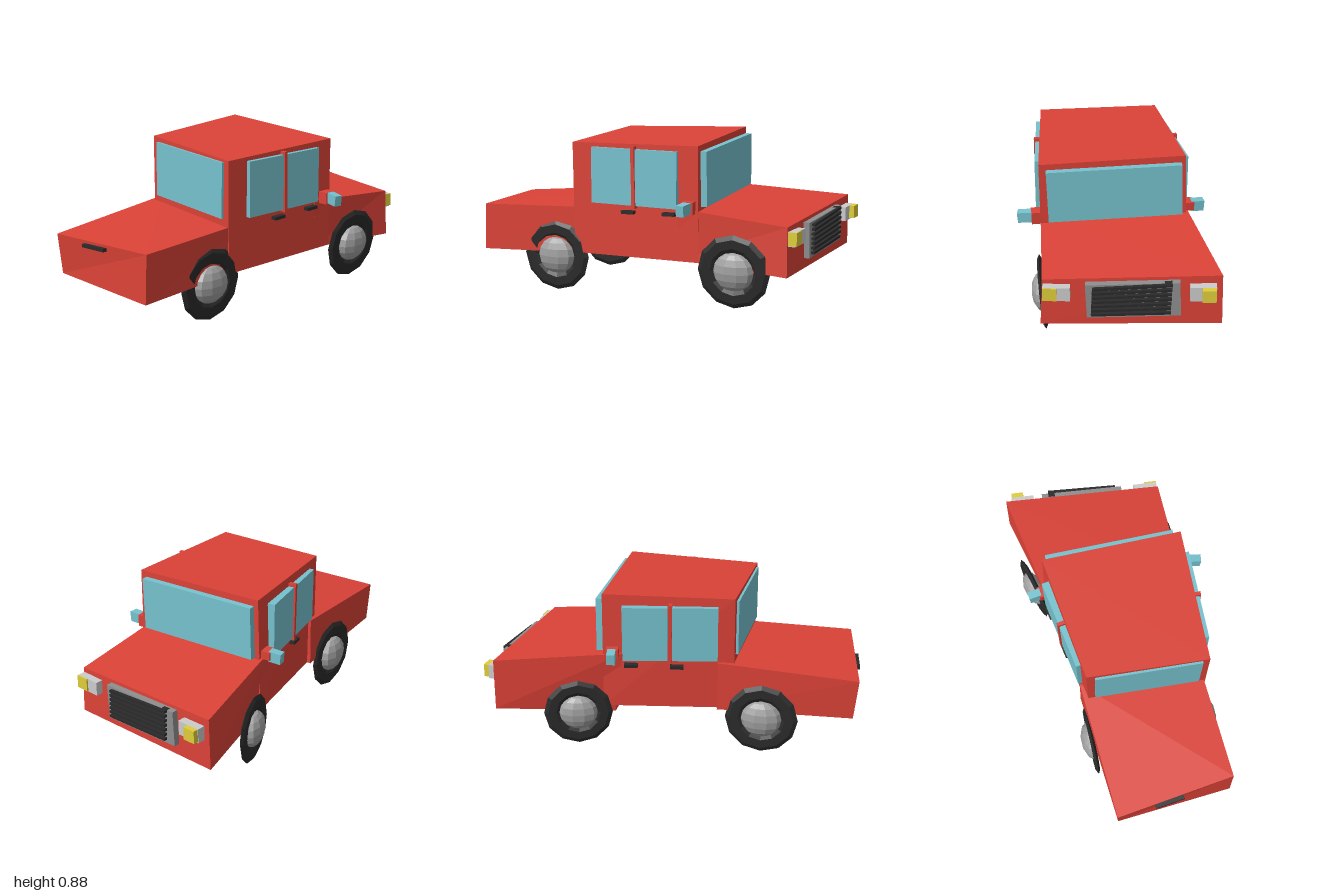
import * as THREE from 'three';

const paint = (color) => new THREE.MeshStandardMaterial({ color, flatShading: true });

export function createModel() {
  const car = new THREE.Group();
  car.name = 'car';
  const red = paint(0xdb4237), glass = paint(0x76c2ce), black = paint(0x2a2a2a);
  const grey = paint(0x8e8e8e), hubGrey = paint(0xa0a0a0), white = paint(0xcfd3d2), yellow = paint(0xdfcd3a);

  const add = (name, geometry, material, pos = [0, 0, 0], rot = [0, 0, 0]) => {
    const mesh = new THREE.Mesh(geometry, material);
    mesh.name = name;
    mesh.position.set(...pos);
    mesh.rotation.set(...rot);
    car.add(mesh);
    return mesh;
  };
  const box = (name, material, size, pos, rot) => add(name, new THREE.BoxGeometry(...size), material, pos, rot);

  // Crooked block from 8 corners: bottom then top, each rear-left... around the outline
  const block = (name, material, c) => {
    const quads = [[0, 1, 5, 4], [1, 2, 6, 5], [2, 3, 7, 6], [3, 0, 4, 7], [4, 5, 6, 7], [3, 2, 1, 0]];
    const points = [];
    for (const [a, b, d, e] of quads) for (const i of [a, b, d, a, d, e]) points.push(...c[i]);
    const g = new THREE.BufferGeometry();
    g.setAttribute('position', new THREE.Float32BufferAttribute(points, 3));
    g.computeVertexNormals();
    add(name, g, material);
  };

  // Body: three overlapping crooked blocks
  block('cabin', red, [
    [-0.37, 0.235, 0.355], [0.365, 0.245, 0.38], [0.355, 0.25, -0.4], [-0.335, 0.24, -0.29],
    [-0.375, 0.842, 0.36], [0.36, 0.857, 0.385], [0.355, 0.883, -0.378], [-0.335, 0.867, -0.29],
  ]);
  block('hood', red, [
    [0.25, 0.25, 0.372], [0.85, 0.215, 0.4], [0.93, 0.23, -0.505], [0.3, 0.2, -0.36],
    [0.25, 0.525, 0.381], [0.845, 0.473, 0.387], [0.93, 0.51, -0.497], [0.25, 0.555, -0.385],
  ]);
  block('trunk', red, [
    [-0.25, 0.235, 0.345], [-0.935, 0.21, 0.37], [-0.975, 0.225, -0.275], [-0.25, 0.24, -0.325],
    [-0.25, 0.49, 0.345], [-0.925, 0.468, 0.372], [-0.997, 0.445, -0.28], [-0.25, 0.51, -0.32],
  ].map((_, i, a) => a[[1, 0, 3, 2, 5, 4, 7, 6][i]]));

  // Windscreen and rear window
  box('windscreen', glass, [0.035, 0.29, 0.705], [0.377, 0.692, -0.008], [0.03, 0, 0]);
  box('rearWindow', glass, [0.03, 0.3, 0.57], [-0.353, 0.685, 0.035], [0.02, -0.06, 0]);

  // Side windows, pillars and door handles; each side leans along the cabin wall
  const sides = [
    { z: (x) => 0.373 + 0.034 * x, out: 1, yaw: -0.034 },
    { z: (x) => -0.344 - 0.16 * x, out: -1, yaw: 0.16 },
  ];
  for (const { z, out, yaw } of sides) {
    for (const x of [-0.13, 0.13])
      box('sideWindow', glass, [0.24, 0.3, 0.04], [x, 0.674, z(x) + out * 0.003], [0, yaw, 0]);
    box('doorPillar', red, [0.02, 0.33, 0.05], [0, 0.675, z(0) + out * 0.006], [0, yaw, 0.02]);
    for (const x of [-0.035, 0.205])
      box('doorHandle', black, [0.072, 0.017, 0.05], [x, 0.487 + 0.03 * x, z(x) + out * 0.003], [0, yaw, 0.03]);
  }

  // Wing mirrors
  box('leftMirrorArm', red, [0.065, 0.066, 0.07], [0.315, 0.537, 0.396], [0, 0.08, 0]);
  box('leftMirror', glass, [0.045, 0.058, 0.08], [0.313, 0.537, 0.461], [0.1, -0.15, 0]);
  box('rightMirrorArm', red, [0.065, 0.045, 0.06], [0.3, 0.568, -0.402], [0, 0.12, 0]);
  box('rightMirror', glass, [0.045, 0.058, 0.07], [0.295, 0.562, -0.453], [-0.06, 0.12, 0]);

  // Grille with slanted bars
  const noseX = (z) => 0.884 - 0.095 * z;
  box('grillePlate', grey, [0.04, 0.19, 0.467], [noseX(-0.06) + 0.012, 0.379, -0.06], [0.045, -0.095, 0]);
  for (let i = 0; i < 7; i++)
    box('grilleBar', black, [0.04, 0.013, 0.395],
      [noseX(-0.053) + 0.03, 0.462 - i * 0.0255, -0.053 + i * 0.001], [0.078 - i * 0.005, -0.095, 0]);

  // Headlamps and indicators
  box('leftHeadlamp', white, [0.05, 0.075, 0.135], [0.868, 0.412, 0.317], [0, -0.095, 0]);
  box('leftIndicator', yellow, [0.05, 0.07, 0.07], [0.873, 0.414, 0.351], [0, -0.095, 0]);
  box('rightHeadlamp', white, [0.06, 0.077, 0.13], [0.935, 0.426, -0.402], [0.02, -0.095, 0]);
  box('rightIndicator', yellow, [0.07, 0.069, 0.068], [0.96, 0.43, -0.428], [0.02, -0.095, 0]);

  // Trunk handle
  box('trunkHandle', black, [0.035, 0.017, 0.16], [-0.968, 0.431, 0.01], [-0.04, 0.1, 0]);

  // Wheels: flattened ring tyres around flattened ball hubs
  const tyre = new THREE.TorusGeometry(0.15, 0.047, 6, 12).scale(1, 1, 0.3);
  const hub = new THREE.SphereGeometry(0.112, 10, 8).scale(1, 0.92, 0.52);
  const wheels = [
    ['rearLeftWheel', [-0.49, 0.207, 0.345], [0.03, 0, 0], 1],
    ['frontLeftWheel', [0.56, 0.217, 0.384], [0.075, 0, 0], 1],
    ['rearRightWheel', [-0.49, 0.202, -0.318], [0, 0, 0], 1],
    ['frontRightWheel', [0.485, 0.22, -0.447], [0, 0.24, 0], 0.94],
  ];
  for (const [name, pos, rot, s] of wheels) {
    add(name + 'Tyre', tyre, black, pos, rot).scale.setScalar(s);
    add(name + 'Hub', hub, hubGrey, pos, rot).scale.setScalar(s);
  }
  return car;
}
